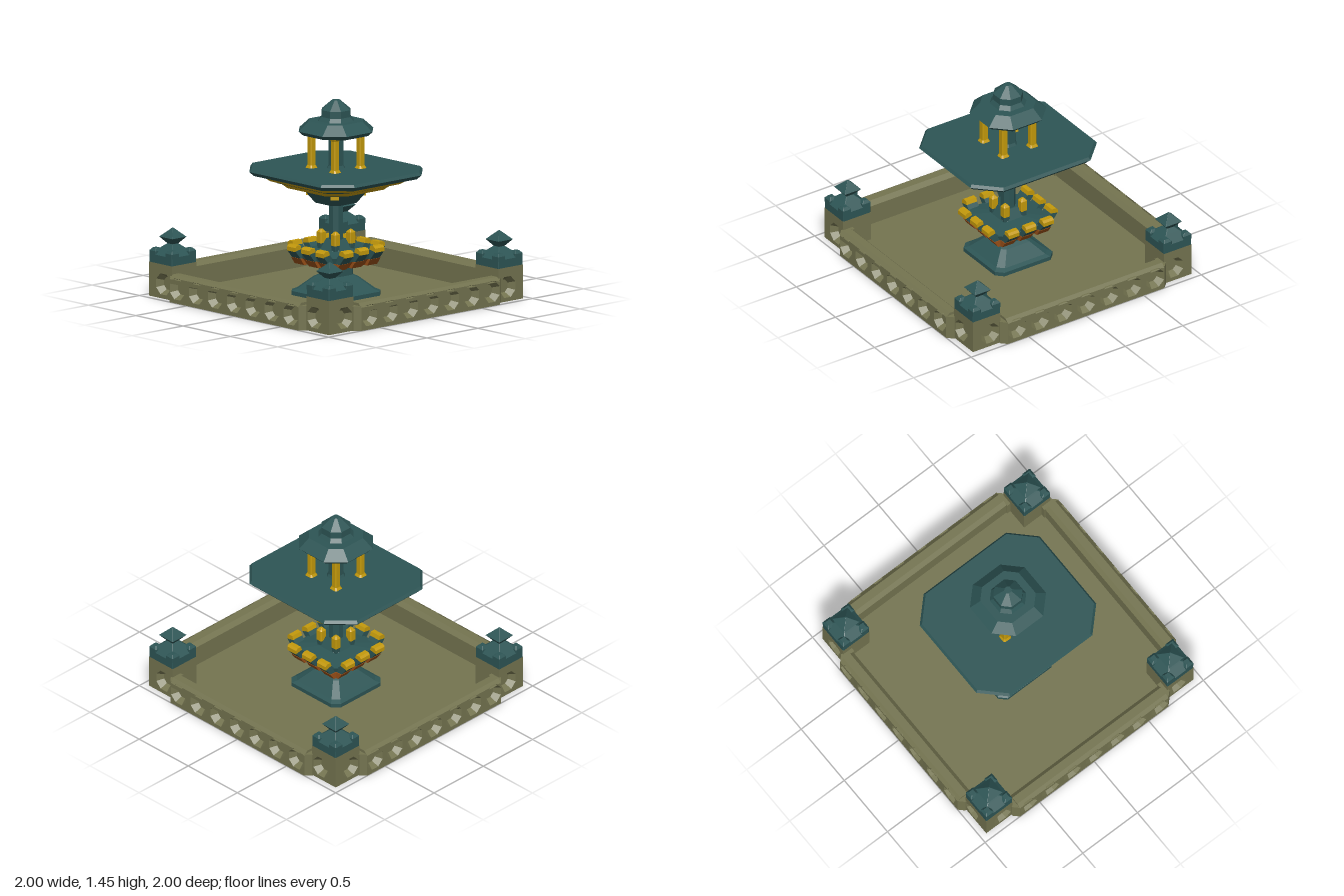
import * as THREE from 'three';

const mat = (color) => new THREE.MeshStandardMaterial({ color, flatShading: true, side: THREE.DoubleSide });
const stone = mat(0x747450), teal = mat(0x2d5555), gold = mat(0xc49a0c), copper = mat(0x9a5018);

function add(parent, name, geometry, material, x = 0, y = 0, z = 0) {
  const mesh = new THREE.Mesh(geometry, material);
  mesh.name = name;
  mesh.position.set(x, y, z);
  parent.add(mesh);
  return mesh;
}

// Stack of rectangles with cut corners; each level is [y, halfX, halfZ, cut]
function stack(levels) {
  const pos = [];
  const rings = levels.map(([y, a, b, c]) =>
    [[a, b - c], [a - c, b], [c - a, b], [-a, b - c], [-a, c - b], [c - a, -b], [a - c, -b], [a, c - b]]
      .map(([x, z]) => [x, y, z]));
  const tri = (...pts) => pts.forEach((p) => pos.push(...p));
  for (let l = 0; l < rings.length - 1; l++) {
    for (let i = 0; i < 8; i++) {
      const j = (i + 1) % 8, lo = rings[l], hi = rings[l + 1];
      tri(lo[i], hi[i], lo[j]);
      tri(lo[j], hi[i], hi[j]);
    }
  }
  const bottom = rings[0], top = rings[rings.length - 1];
  for (let i = 1; i < 7; i++) {
    tri(bottom[0], bottom[i], bottom[i + 1]);
    tri(top[0], top[i + 1], top[i]);
  }
  const g = new THREE.BufferGeometry();
  g.setAttribute('position', new THREE.Float32BufferAttribute(pos, 3));
  g.computeVertexNormals();
  return g;
}
const squareStack = (levels) => stack(levels.map(([y, h, c]) => [y, h, h, c]));

// Polygon extruded along z, centred on z = 0
function prism(points, depth) {
  const shape = new THREE.Shape(points.map(([x, y]) => new THREE.Vector2(x, y)));
  return new THREE.ExtrudeGeometry(shape, { depth, bevelEnabled: false }).translate(0, 0, -depth / 2);
}

// Upright slab with a row of octagonal hollows
function hollowPanel(parent, name, x0, x1, height, z, centres) {
  const depth = 0.05, r = 0.083, cy = 0.105;
  const shape = new THREE.Shape([[x0, 0], [x1, 0], [x1, height], [x0, height]].map((p) => new THREE.Vector2(...p)));
  for (const cx of centres) {
    const hole = [];
    for (let i = 0; i < 8; i++) {
      const a = (-(i + 0.5) * Math.PI) / 4;
      hole.push(new THREE.Vector2(cx + r * Math.cos(a), cy + r * Math.sin(a)));
    }
    shape.holes.push(new THREE.Path(hole));
    const dish = new THREE.CylinderGeometry(r, 0.05, depth, 8, 1, true).rotateY(Math.PI / 8).rotateX(Math.PI / 2);
    add(parent, 'hollow', dish, stone, cx, cy, z - depth / 2);
  }
  add(parent, name, new THREE.ExtrudeGeometry(shape, { depth, bevelEnabled: false }), stone, 0, 0, z - depth);
}

// One wall of the pool together with the post at its right end
function poolSide() {
  const side = new THREE.Group();
  side.name = 'poolSide';
  hollowPanel(side, 'wallFace', -0.68, 0.68, 0.17, 1, [-0.6, -0.4, -0.2, 0, 0.2, 0.4, 0.6]);
  const coping = prism([[0.88, 0], [0.95, 0], [0.95, 0.17], [1, 0.17], [0.97, 0.2], [0.91, 0.2], [0.88, 0.17]], 1.36);
  add(side, 'wall', coping.rotateY(-Math.PI / 2), stone);
  for (const s of [-1, 1]) {
    const end = prism([[s * 0.68, -1], [s * 0.72, -0.96], [s * 0.72, -0.87], [s * 0.68, -0.87]], 0.18);
    add(side, 'wallEnd', end.rotateX(-Math.PI / 2), stone, 0, 0.09, 0);
  }
  hollowPanel(side, 'postFace', 0.71, 0.95, 0.25, 0.95, [0.8]);
  hollowPanel(side, 'postFace', -0.9, -0.71, 0.25, 0.95, [-0.8]);

  // Corner post with merlons and a diamond finial
  const post = new THREE.Group();
  post.name = 'cornerPost';
  post.position.set(0.83, 0, 0.83);
  side.add(post);
  add(post, 'postCore', new THREE.BoxGeometry(0.19, 0.25, 0.19), stone, -0.025, 0.125, -0.025);
  add(post, 'postCap', squareStack([[0.25, 0.12, 0.005], [0.31, 0.12, 0.005], [0.36, 0.06, 0.005], [0.39, 0.025, 0.005]]), teal);
  for (const x of [-1, 1]) for (const z of [-1, 1]) {
    add(post, 'merlon', squareStack([[0.3, 0.035, 0.003], [0.335, 0.035, 0.003], [0.355, 0.018, 0.003]]), teal, x * 0.085, 0, z * 0.085);
  }
  add(post, 'finial', squareStack([[0.37, 0.015, 0.002], [0.435, 0.07, 0.002], [0.5, 0.004, 0.001]]), teal);
  return side;
}

function lotus() {
  const group = new THREE.Group();
  group.name = 'lotusBowl';
  add(group, 'bowlUnderside', squareStack([[0.25, 0.19, 0.05], [0.3, 0.23, 0.06]]), copper);
  add(group, 'bowl', squareStack([[0.3, 0.23, 0.06], [0.34, 0.24, 0.06], [0.36, 0.1, 0.03], [0.43, 0.06, 0.02]]), teal);
  // Three outward-leaning petals on each side, one upright petal on each corner
  for (let k = 0; k < 4; k++) {
    const quarter = new THREE.Group();
    quarter.name = 'petals';
    quarter.rotation.y = (k * Math.PI) / 2;
    group.add(quarter);
    for (const z of [-0.15, 0, 0.15]) {
      add(quarter, 'petalBase', prism([[0.15, 0.25], [0.22, 0.25], [0.255, 0.3], [0.18, 0.3]], 0.1), copper, 0, 0, z);
      add(quarter, 'petal', prism([[0.18, 0.3], [0.25, 0.3], [0.3, 0.36], [0.24, 0.37]], 0.09), teal, 0, 0, z);
      add(quarter, 'petalTip', prism([[0.24, 0.37], [0.3, 0.355], [0.3, 0.385], [0.285, 0.4], [0.25, 0.4]], 0.09), gold, 0, 0, z);
    }
    add(quarter, 'innerPetal', squareStack([[0.34, 0.02, 0.005], [0.4, 0.025, 0.005]]), teal, 0.075, 0, 0.075);
    add(quarter, 'innerPetalTip', squareStack([[0.4, 0.026, 0.006], [0.48, 0.026, 0.006], [0.5, 0.01, 0.004]]), gold, 0.075, 0, 0.075);
  }
  return group;
}

export function createModel() {
  const model = new THREE.Group();
  model.name = 'fountain';

  // Pool
  add(model, 'poolFloor', new THREE.BoxGeometry(1.84, 0.02, 1.84), stone, 0, 0.01, 0);
  for (let k = 0; k < 4; k++) {
    const side = poolSide();
    side.rotation.y = (k * Math.PI) / 2;
    model.add(side);
  }

  // Pedestal, lotus and stem
  add(model, 'pedestal', squareStack([[0.02, 0.25, 0.05], [0.05, 0.25, 0.05], [0.065, 0.22, 0.045],
    [0.15, 0.13, 0.03], [0.17, 0.1, 0.03], [0.26, 0.1, 0.03]]), teal);
  model.add(lotus());
  add(model, 'stem', squareStack([[0.35, 0.05, 0.03], [0.68, 0.05, 0.03], [0.7, 0.08, 0.03]]), teal);

  // Upper basin, slightly deeper than wide
  add(model, 'basinBowl', stack([[0.7, 0.13, 0.13, 0.05], [0.8, 0.2, 0.21, 0.08], [0.81, 0.27, 0.29, 0.1], [0.9, 0.28, 0.3, 0.1]]), teal);
  for (const x of [-1, 1]) for (const z of [-1, 1]) {
    const bracket = add(model, 'basinBracket', new THREE.BoxGeometry(0.06, 0.05, 0.05), gold, x * 0.135, 0.78, z * 0.135);
    bracket.rotation.y = (x * z * Math.PI) / 4;
  }
  add(model, 'lowerBand', stack([[0.81, 0.29, 0.31, 0.11], [0.85, 0.33, 0.36, 0.12]]), gold);
  add(model, 'bandLedge', stack([[0.845, 0.34, 0.37, 0.12], [0.86, 0.36, 0.4, 0.13]]), teal);
  add(model, 'upperBand', stack([[0.86, 0.38, 0.42, 0.14], [0.9, 0.43, 0.48, 0.15]]), gold);
  add(model, 'basinTop', stack([[0.9, 0.47, 0.52, 0.16], [0.93, 0.5, 0.55, 0.172], [0.95, 0.485, 0.535, 0.165]]), teal);

  // Pavilion on the basin
  add(model, 'centreColumn', squareStack([[0.95, 0.06, 0.03], [0.97, 0.05, 0.025], [1.18, 0.05, 0.025], [1.21, 0.07, 0.03]]), teal);
  for (const x of [-0.125, 0.125]) for (const z of [-0.125, 0.125]) {
    add(model, 'column', squareStack([[0.95, 0.035, 0.01], [0.97, 0.025, 0.008], [1.18, 0.025, 0.008], [1.21, 0.035, 0.01]]), gold, x, 0, z);
  }
  add(model, 'roof', squareStack([[1.2, 0.22, 0.11], [1.23, 0.25, 0.125], [1.3, 0.175, 0.075]]), teal);
  add(model, 'roofKnob', squareStack([[1.3, 0.12, 0.06], [1.33, 0.1, 0.055], [1.38, 0.1, 0.055], [1.45, 0.025, 0.012]]), teal);
  return model;
}
